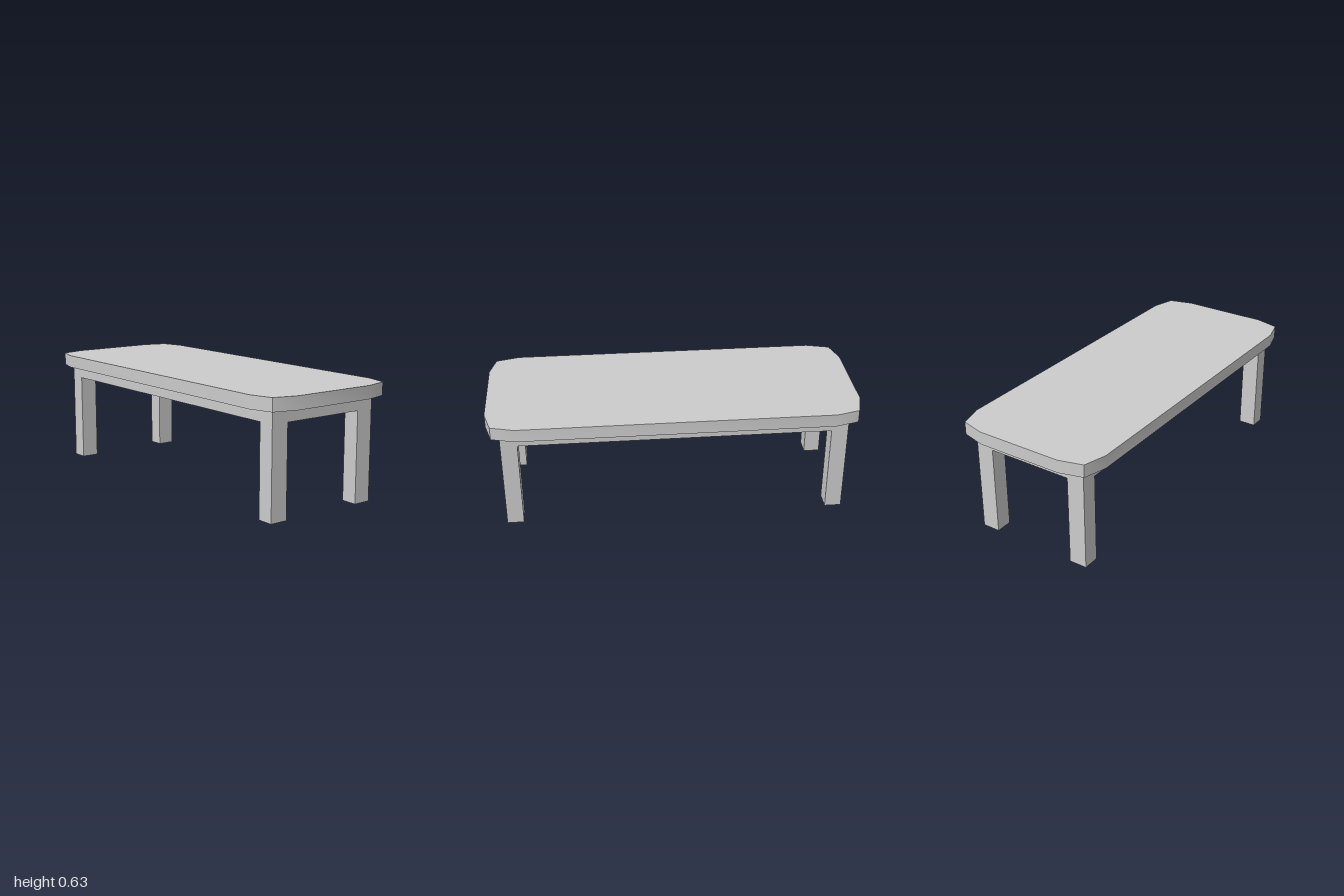
import * as THREE from 'three';
import { toCreasedNormals } from 'three/addons/utils/BufferGeometryUtils.js';

const LEG_X = 0.925, LEG_Z = 0.334; // outer faces of the frame
const APRON_Y = 0.49, TOP_Y = 0.56, HEIGHT = 0.63;

export function createModel() {
  const group = new THREE.Group();
  const material = new THREE.MeshStandardMaterial({ color: 0xcccccc });
  const openMaterial = new THREE.MeshStandardMaterial({ color: 0xcccccc, side: THREE.DoubleSide });

  const add = (name, geometry, mat = material) => {
    const mesh = new THREE.Mesh(geometry, mat);
    mesh.name = name;
    group.add(mesh);
    return mesh;
  };

  // Tabletop: one chamfered corner mirrored into all four, counter-clockwise
  const corner = [[1, 0.24], [0.965, 0.37], [0.84, 0.405]];
  const flipped = [...corner].reverse();
  const outline = [
    ...corner,
    ...flipped.map(([x, z]) => [-x, z]),
    ...corner.map(([x, z]) => [-x, -z]),
    ...flipped.map(([x, z]) => [x, -z]),
  ].map(([x, z]) => new THREE.Vector2(x, z));
  const top = new THREE.ExtrudeGeometry(new THREE.Shape(outline), {
    depth: HEIGHT - TOP_Y, bevelEnabled: false,
  });
  top.rotateX(-Math.PI / 2);
  add('tabletop', toCreasedNormals(top, Math.PI / 6)).position.y = TOP_Y;

  // Solid apron slab under the top
  const apron = new THREE.BoxGeometry(2 * LEG_X, TOP_Y - APRON_Y, 2 * LEG_Z);
  add('apron', apron).position.y = (TOP_Y + APRON_Y) / 2;

  // Hollow square legs, open at the bottom
  const width = 0.09, depth = 0.098;
  const leg = new THREE.BoxGeometry(width, APRON_Y, depth);
  const index = Array.from(leg.index.array);
  index.splice(12, 12); // drop the end caps, keep the four walls
  leg.setIndex(index);
  leg.clearGroups();
  for (const [sz, end] of [[1, 'front'], [-1, 'back']]) {
    for (const [sx, side] of [[1, 'Left'], [-1, 'Right']]) {
      add(`${end}${side}Leg`, leg, openMaterial)
        .position.set(sx * (LEG_X - width / 2), APRON_Y / 2, sz * (LEG_Z - depth / 2));
    }
  }
  return group;
}
